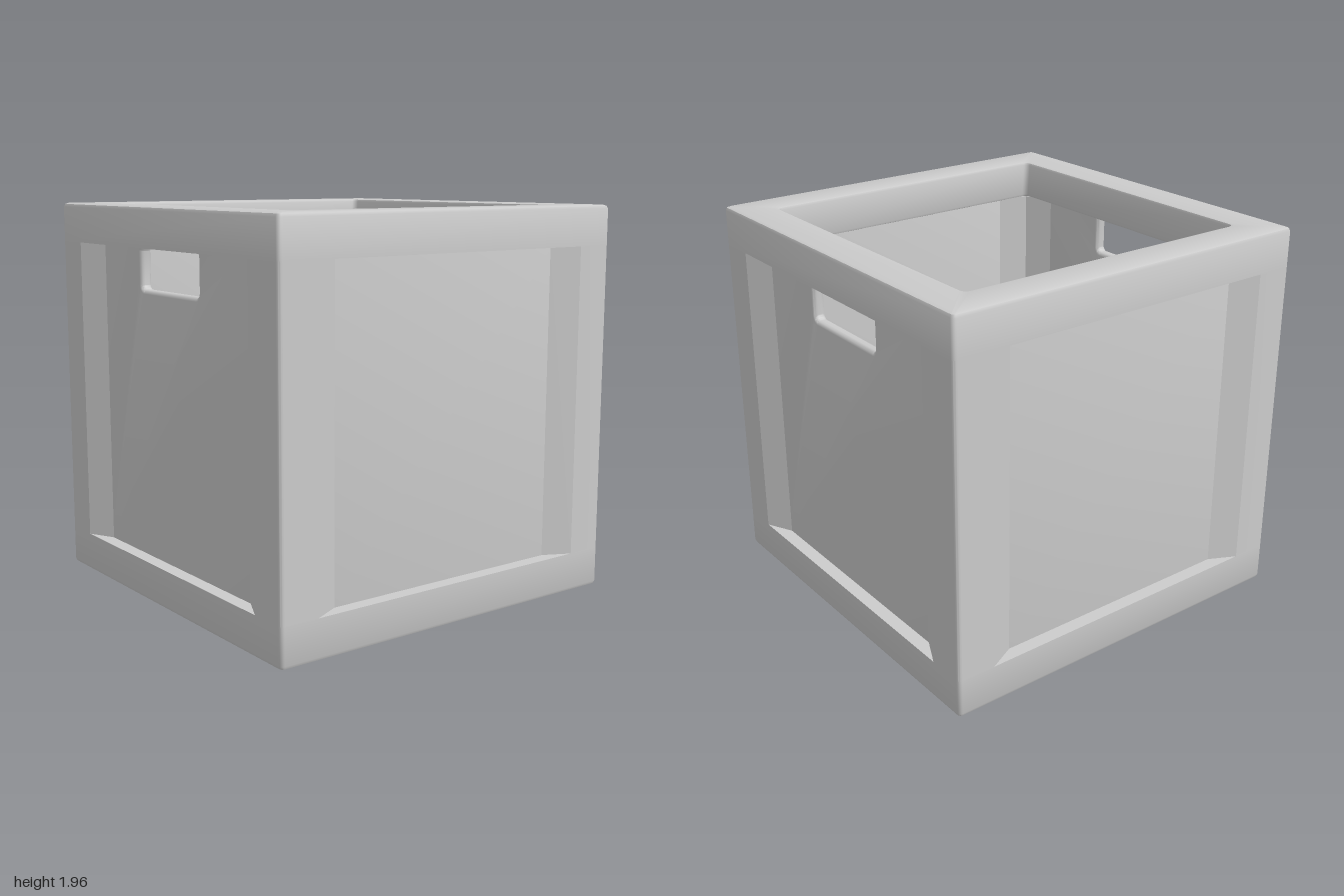
import * as THREE from 'three';
import { toCreasedNormals } from 'three/addons/utils/BufferGeometryUtils.js';

const material = new THREE.MeshStandardMaterial({ color: 0xcccccc });
const OUT = 0.93, IN = 0.87; // outer and inner face of the thin wall panels

function part(name, geometry) {
  const mesh = new THREE.Mesh(geometry, material);
  mesh.name = name;
  return mesh;
}

// Sweeps a closed profile of [halfWidth, y, cornerRadius] around a rounded square
function squareRing(profile) {
  const steps = 4, n = 4 * (steps + 1), pos = [], index = [];
  for (const [h, y, c] of profile) {
    for (let k = 0; k < 4; k++) {
      const mid = (k + 0.5) * Math.PI / 2;
      const cx = Math.sign(Math.cos(mid)) * (h - c), cz = Math.sign(Math.sin(mid)) * (h - c);
      for (let j = 0; j <= steps; j++) {
        const a = (k + j / steps) * Math.PI / 2;
        pos.push(cx + c * Math.cos(a), y, cz + c * Math.sin(a));
      }
    }
  }
  const m = profile.length;
  for (let i = 0; i < m; i++) {
    for (let j = 0; j < n; j++) {
      const a = i * n + j, b = i * n + (j + 1) % n;
      const c = ((i + 1) % m) * n + j, d = ((i + 1) % m) * n + (j + 1) % n;
      index.push(a, c, b, b, c, d);
    }
  }
  const g = new THREE.BufferGeometry();
  g.setAttribute('position', new THREE.Float32BufferAttribute(pos, 3));
  g.setIndex(index);
  return toCreasedNormals(g, 0.7);
}

function roundedRect(path, x0, y0, x1, y1, r) {
  path.absarc(x1 - r, y0 + r, r, -Math.PI / 2, 0);
  path.absarc(x1 - r, y1 - r, r, 0, Math.PI / 2);
  path.absarc(x0 + r, y1 - r, r, Math.PI / 2, Math.PI);
  path.absarc(x0 + r, y0 + r, r, Math.PI, Math.PI * 1.5);
  path.closePath();
  return path;
}

// Thin wall panel facing +z, optionally with a softened hand hole
function panelGeometry(hole) {
  const s = new THREE.Shape();
  s.moveTo(-0.72, 0.12).lineTo(0.72, 0.12).lineTo(0.72, 1.82).lineTo(-0.72, 1.82).closePath();
  if (hole) s.holes.push(roundedRect(new THREE.Path(), hole[0], 1.55, hole[1], 1.758, 0.025));
  const bevel = 0.02;
  const g = new THREE.ExtrudeGeometry(s, {
    depth: OUT - IN - 2 * bevel, bevelEnabled: true, bevelThickness: bevel,
    bevelSize: bevel, bevelOffset: -bevel, bevelSegments: 3, curveSegments: 5,
  });
  g.translate(0, 0, IN + bevel);
  return toCreasedNormals(g, 0.7);
}

export function createModel() {
  const crate = new THREE.Group();
  crate.name = 'crate';

  // Rims with softened edges
  crate.add(part('topRim', squareRing([
    [1, 1.76, 0.02], [1, 1.94, 0.02], [0.994, 1.954, 0.018], [0.98, 1.96, 0.015],
    [0.815, 1.96, 0.035], [0.804, 1.956, 0.032], [0.8, 1.945, 0.03],
    [0.8, 1.775, 0.03], [0.804, 1.764, 0.03], [0.815, 1.76, 0.03],
  ])));
  crate.add(part('bottomRim', squareRing([
    [0.98, 0, 0.015], [0.994, 0.006, 0.018], [1, 0.02, 0.02], [1, 0.2, 0.02],
    [0.8, 0.2, 0.01], [0.8, 0, 0.01],
  ])));

  // Floor, sunk between two sloping sides
  const floor = new THREE.Shape();
  floor.moveTo(-0.81, 0).lineTo(0.81, 0).lineTo(0.81, 0.195).lineTo(0.8, 0.195);
  floor.lineTo(0.66, 0.12).lineTo(-0.66, 0.12).lineTo(-0.8, 0.195).lineTo(-0.81, 0.195).closePath();
  const floorGeometry = new THREE.ExtrudeGeometry(floor, { depth: 1.62, bevelEnabled: false });
  crate.add(part('floor', floorGeometry.translate(0, 0, -0.81)));

  // Corner posts, tapering to meet the panels on both faces
  const post = new THREE.Shape();
  post.moveTo(0.8, 0.8).lineTo(IN, 0.66).lineTo(OUT, 0.66).lineTo(1, 0.8).lineTo(1, 0.98);
  post.absarc(0.98, 0.98, 0.02, 0, Math.PI / 2);
  post.lineTo(0.8, 1).lineTo(0.66, OUT).lineTo(0.66, IN).closePath();
  const postGeometry = toCreasedNormals(
    new THREE.ExtrudeGeometry(post, { depth: 1.56, bevelEnabled: false, curveSegments: 4 })
      .rotateX(-Math.PI / 2).translate(0, 0.2, 0), 0.4);

  // Hand holes line up through the front and back panels
  const panels = [
    ['frontPanel', [-0.285, 0.25]], ['leftPanel', null],
    ['backPanel', [-0.25, 0.285]], ['rightPanel', null],
  ];
  panels.forEach(([name, hole], i) => {
    const panel = part(name, panelGeometry(hole));
    const corner = part('cornerPost', postGeometry);
    panel.rotation.y = corner.rotation.y = i * Math.PI / 2;
    crate.add(panel, corner);
  });

  return crate;
}
